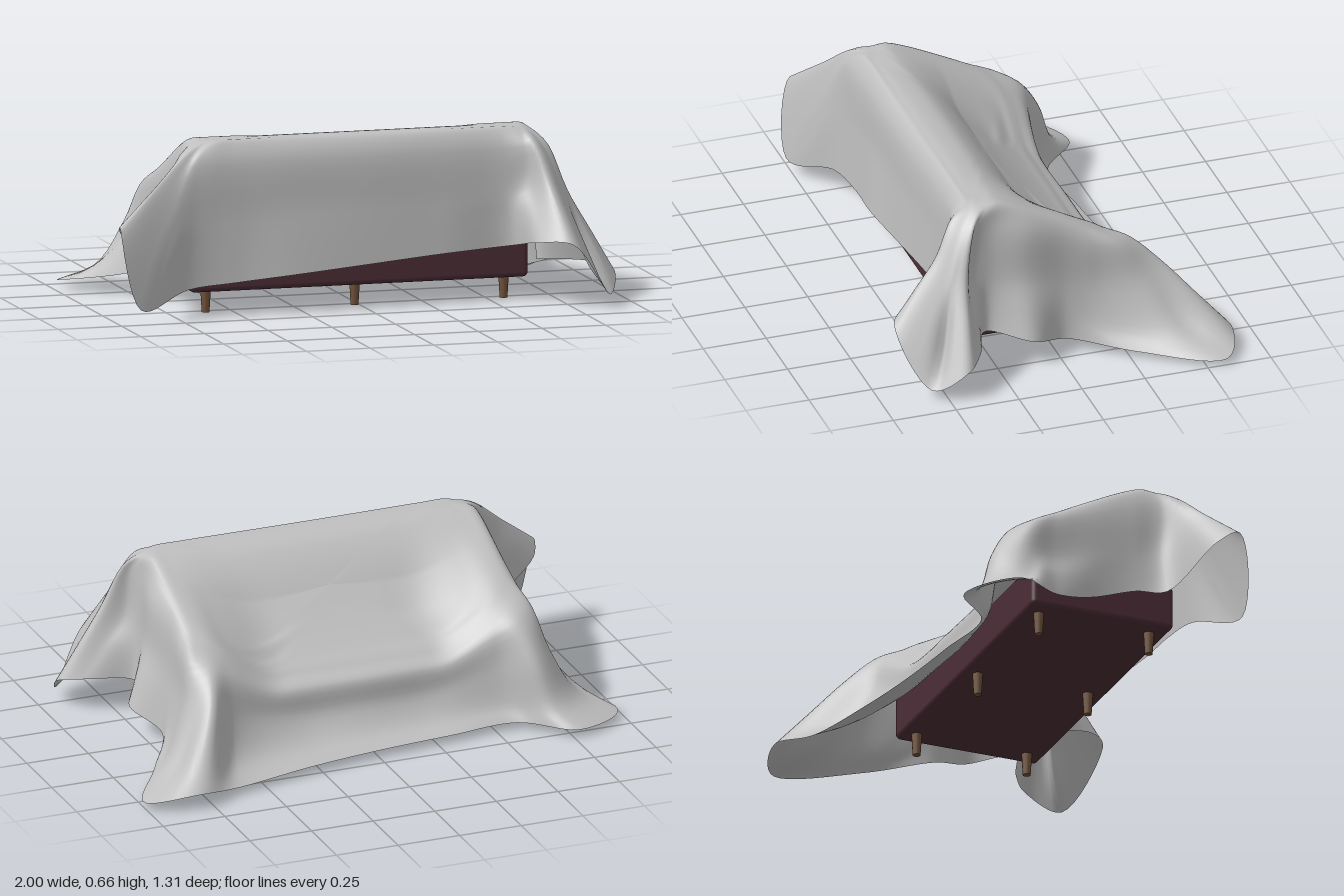
import * as THREE from 'three';
import { RoundedBoxGeometry } from 'three/addons/geometries/RoundedBoxGeometry.js';

const mat = (name, color) => Object.assign(new THREE.MeshStandardMaterial({ color }), { name });

// Stations run round the sofa: front, left side, back, right side.
// Upper edge of the cloth as x, z
const EDGE = [
  [-.5, .335], [-.3, .335], [0, .335], [.3, .335], [.52, .335],
  [.6, .335], [.62, .32], [.635, .31], [.645, .29], [.655, .26],
  [.655, .2], [.655, .1], [.65, -.02], [.645, -.12],
  [.635, -.2], [.6, -.23], [.52, -.235], [.26, -.23], [0, -.23], [-.3, -.23], [-.52, -.235],
  [-.6, -.22], [-.64, -.18], [-.655, -.1], [-.66, .03], [-.66, .15],
  [-.65, .25], [-.63, .29], [-.62, .31], [-.61, .32], [-.59, .335],
];
// Halfway down the skirt as x, y, z
const MIDDLE = [
  [-.5, .38, .378], [-.3, .4, .378], [0, .4, .378], [.3, .4, .373], [.54, .42, .378],
  [.62, .44, .41], [.68, .48, .475], [.77, .38, .45], [.78, .42, .385], [.71, .38, .345],
  [.685, .36, .27], [.71, .34, .12], [.69, .3, -.04], [.7, .26, -.16],
  [.73, .265, -.34], [.67, .305, -.425], [.55, .22, -.36], [.28, .155, -.305], [0, .15, -.295], [-.3, .155, -.29], [-.53, .22, -.32],
  [-.66, .27, -.39], [-.75, .26, -.31], [-.71, .28, -.15], [-.7, .34, .03], [-.7, .36, .17],
  [-.71, .42, .28], [-.8, .5, .36], [-.83, .51, .4], [-.78, .4, .42], [-.66, .38, .39],
];
// Hem as x, y, z, with a flared fold at each corner
const HEM = [
  [-.52, .125, .39], [-.3, .145, .4], [0, .17, .39], [.3, .195, .38], [.57, .215, .385],
  [.62, .25, .56], [.73, .25, .655], [.9, .04, .56], [.95, .12, .43], [.86, .14, .355],
  [.7, .14, .28], [.785, .11, .12], [.72, .06, -.04], [.84, .027, -.27],
  [1, .025, -.575], [.81, .06, -.655], [.62, .03, -.58], [.3, .03, -.5], [0, .03, -.45], [-.3, .03, -.42], [-.58, .03, -.4],
  [-.77, .03, -.55], [-.98, .03, -.42], [-.8, .08, -.18], [-.71, .14, 0], [-.705, .2, .18],
  [-.75, .2, .29], [-.97, .33, .4], [-1, .37, .48], [-.93, .06, .52], [-.71, .11, .41],
];

// Height of the cloth over the sofa: a high ridge, a slope, a sag between the arms
function topY(x, z) {
  const t = Math.max(0, .24 - z);
  const sag = THREE.MathUtils.smoothstep(.63 - Math.abs(x), 0, .33) * THREE.MathUtils.smoothstep(t, -.1, .48);
  return .66 - .5 * t * t / (t + .05) - .155 * sag * Math.min(1, t / .2);
}

// Point between a and b, with its own share for the height
function between(a, b, share, shareY) {
  const p = a.clone().lerp(b, share);
  p.y = a.y + (b.y - a.y) * shareY;
  return p;
}

function clothGeometry() {
  const around = 248, out = 40;
  const loop = pts => new THREE.CatmullRomCurve3(pts.map(p => new THREE.Vector3(...p)), true);
  const edge = loop(EDGE.map(([x, z]) => [x, 0, z])), middle = loop(MIDDLE), hem = loop(HEM);
  const pos = [], index = [];
  for (let i = 0; i < around; i++) {
    const u = i / around;
    const s = edge.getPoint(u), m = middle.getPoint(u), h = hem.getPoint(u);
    // Lines from the centre of the top out to the edge
    const line = [0, .25, .5, .75, .9, 1].map(k => {
      const x = s.x * k, z = .05 + (s.z - .05) * k;
      return new THREE.Vector3(x, topY(x, z) - (k === 1 ? .006 : 0), z);
    });
    // Shoulder: tight over the walls, loose over the corners
    const top = line[5];
    const f = THREE.MathUtils.clamp(.95 - 2.5 * Math.hypot(m.x - s.x, m.z - s.z), .4, .8);
    const shoulder = between(top, m, f, .26);
    // Where the hem lies on the floor the cloth sags before it flares
    const sag = 1 - THREE.MathUtils.smoothstep(h.y, .03, .06);
    const lower = between(m, h, .5 - .1 * sag, .5 + .2 * sag);
    const curve = new THREE.CatmullRomCurve3([...line, shoulder, m, lower, h]);
    for (let j = 0; j <= out; j++) pos.push(...curve.getPoint(j / out).toArray());
  }
  const row = out + 1;
  for (let i = 0; i < around; i++) {
    for (let j = 0; j < out; j++) {
      const a = i * row + j, d = ((i + 1) % around) * row + j;
      if (j > 0) index.push(a, a + 1, d);
      index.push(a + 1, d + 1, d);
    }
  }
  const g = new THREE.BufferGeometry();
  g.setAttribute('position', new THREE.Float32BufferAttribute(pos, 3));
  g.setIndex(index);
  g.computeVertexNormals();
  return g;
}

export function createModel() {
  const model = new THREE.Group();
  model.name = 'coveredSofa';
  const grey = mat('dust cloth grey', 0xc0c0c0);
  grey.side = THREE.DoubleSide;
  const maroon = mat('upholstery maroon', 0x4c2d36);
  const wood = mat('leg wood', 0x70523a);

  const add = (name, geometry, material, x = 0, y = 0, z = 0) => {
    const mesh = new THREE.Mesh(geometry, material);
    mesh.name = name;
    mesh.position.set(x, y, z);
    model.add(mesh);
  };
  const box = (name, w, h, d, x, y, z) =>
    add(name, new RoundedBoxGeometry(w, h, d, 3, .02), maroon, x, y, z);

  // Sofa body
  const cx = -.018;
  box('base', 1.326, .175, .58, cx, .1725, .057);
  box('backrest', 1.2, .4, .13, cx, .39, .265);
  for (const side of [-1, 1]) box(side > 0 ? 'leftArm' : 'rightArm', .1, .17, .3, cx + side * .58, .29, .07);

  // Six tapered legs
  for (const z of [.275, -.175]) {
    for (const x of [-.603, cx, .567]) {
      add(z > 0 ? 'frontLeg' : 'backLeg', new THREE.CylinderGeometry(.021, .015, .1, 12), wood, x, .05, z);
    }
  }

  // Draped cloth
  add('dustCloth', clothGeometry(), grey);
  return model;
}
